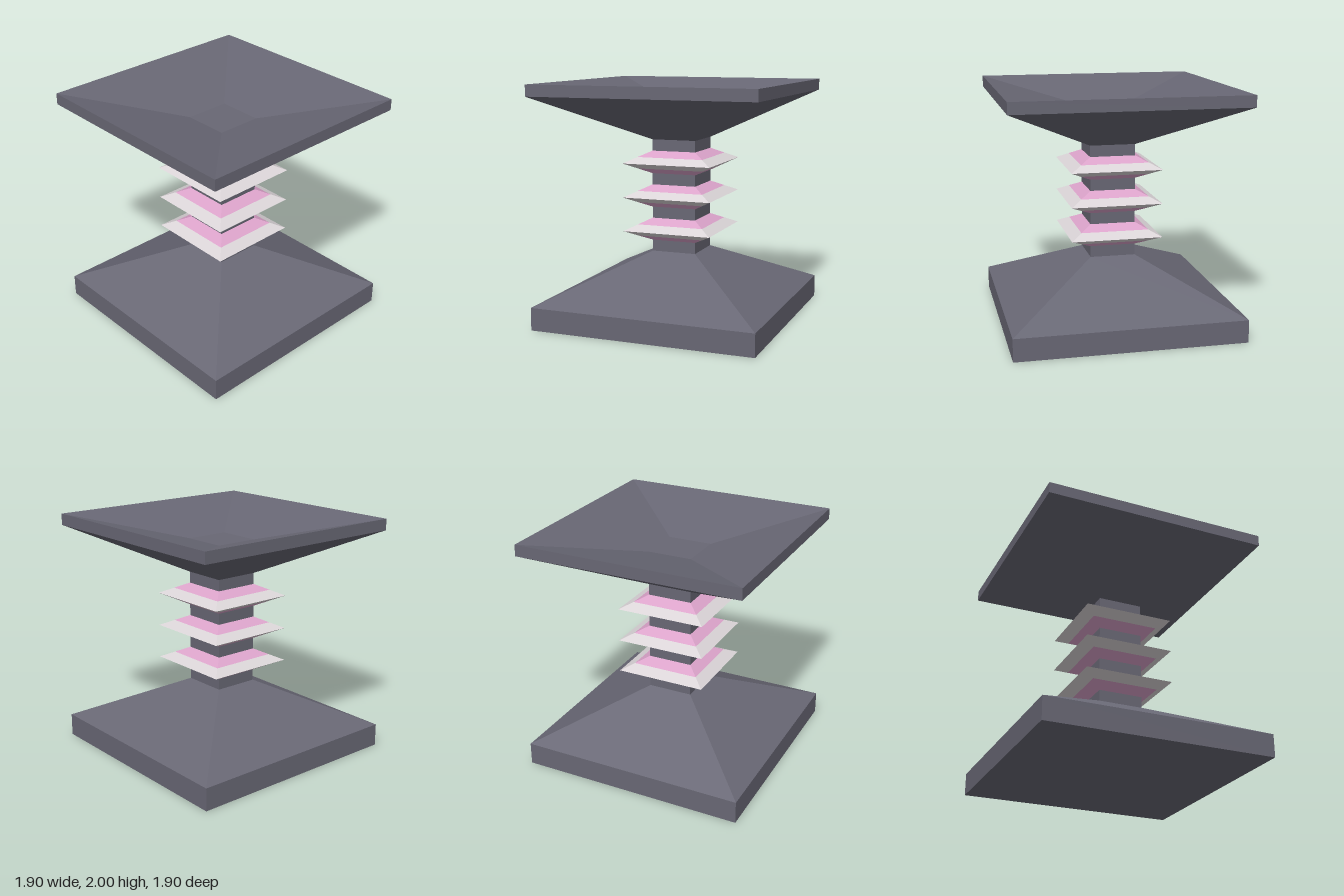
import * as THREE from 'three';

const U = 2 / 21; // one grid unit of the design

const slate = new THREE.MeshStandardMaterial({ name: 'slate', color: 0x686774 });
const pink = new THREE.MeshStandardMaterial({ name: 'pink', color: 0xdba3ca, side: THREE.DoubleSide });
const paleGrey = new THREE.MeshStandardMaterial({ name: 'paleGrey', color: 0xdad4d7, side: THREE.DoubleSide });
for (const m of [slate, pink, paleGrey]) m.flatShading = true;

// Square turned solid: profile of [half width, height] in units, listed bottom to top
function squareLathe(name, profile, material) {
  const points = profile.map(([half, y]) => new THREE.Vector2(half * Math.SQRT2 * U, y * U));
  const geometry = new THREE.LatheGeometry(points, 4, Math.PI / 4).toNonIndexed();
  geometry.computeVertexNormals();
  const mesh = new THREE.Mesh(geometry, material);
  mesh.name = name;
  return mesh;
}

export function createModel() {
  const model = new THREE.Group();
  model.name = 'pedestal';

  // Sloped foot with a closed flat underside
  model.add(squareLathe('base', [[0, 0], [10, 0], [10, 2], [2, 6]], slate));

  // Square column through the rings
  model.add(squareLathe('column', [[2, 6], [2, 16]], slate));

  // Three diamond-section rings: pink next to the column, pale towards the edge
  for (const y of [7, 10, 13]) {
    const ring = new THREE.Group();
    ring.name = 'ring';
    ring.add(
      squareLathe('ringLowerBand', [[2, y], [3, y + 0.5]], pink),
      squareLathe('ringEdge', [[3, y + 0.5], [4, y + 1], [3, y + 1.5]], paleGrey),
      squareLathe('ringUpperBand', [[3, y + 1.5], [2, y + 2]], pink),
    );
    model.add(ring);
  }

  // Flared top with a shallow sunken dish
  model.add(squareLathe('topDish', [[2, 16], [10, 20], [10, 21], [2, 19], [0, 19]], slate));

  return model;
}
